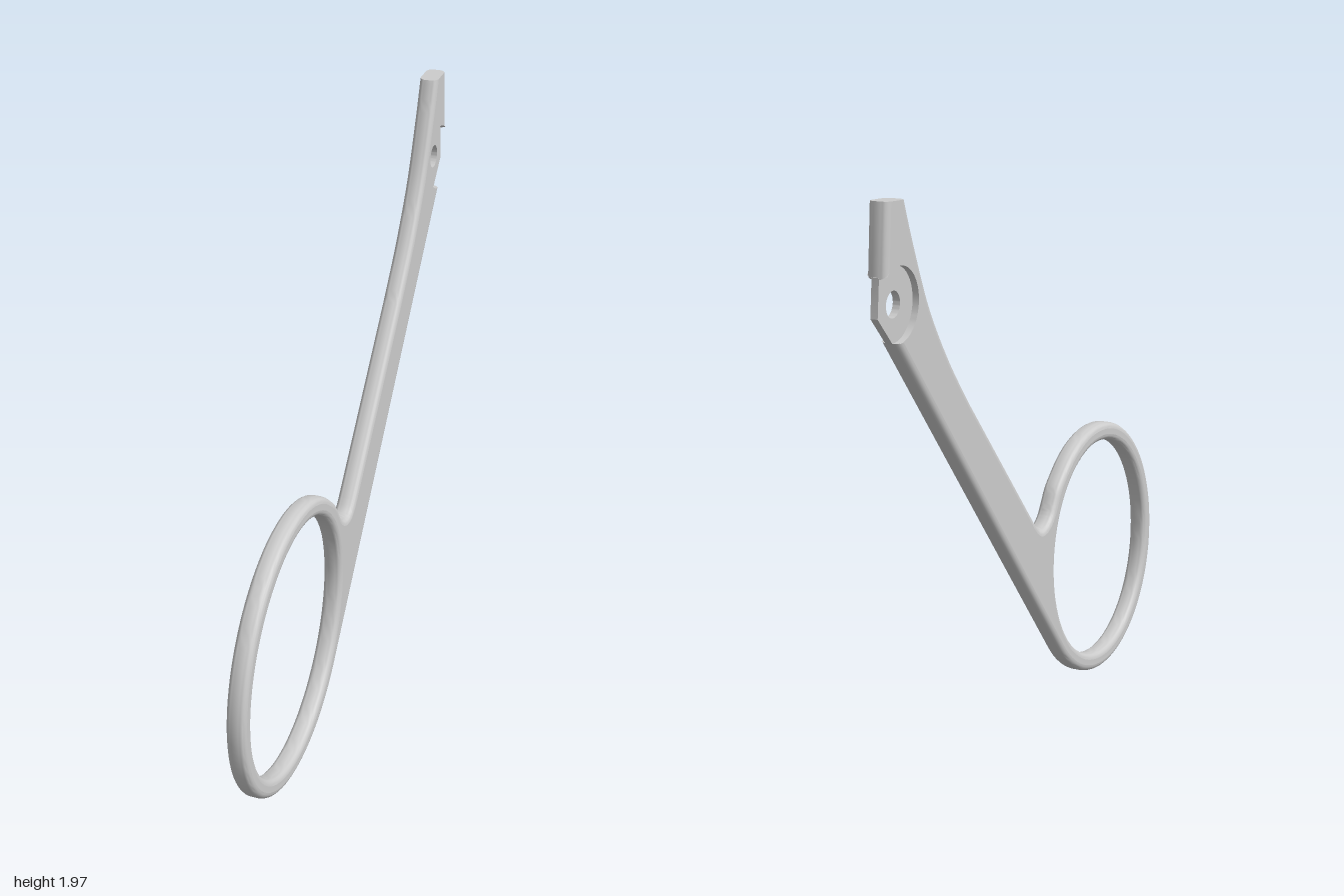
import * as THREE from 'three';
import { mergeGeometries, toCreasedNormals } from 'three/addons/utils/BufferGeometryUtils.js';

const V = (x, y) => new THREE.Vector2(x, y);
const HALF = 0.033, ROUND = 0.022;         // half thickness, edge rounding
const TILT = THREE.MathUtils.degToRad(50.5); // direction of the arm
const PIVOT = V(0.913, 1.67), RECESS = 0.113;

// point on the tilted finger-ring ellipse
function ellipsePoint(a, b, t) {
  return V(a * Math.cos(t), b * Math.sin(t)).rotateAround(V(0, 0), TILT).add(V(-0.5375, 0.478));
}

function pivotPoint(r, deg) {
  const t = THREE.MathUtils.degToRad(deg);
  return V(PIVOT.x + r * Math.cos(t), PIVOT.y + r * Math.sin(t));
}

// move a loop into the solid (right of travel); p.sharp marks edges that keep their place
function inset(loop, d) {
  const n = loop.length;
  const normal = (a, b) => V(b.y - a.y, a.x - b.x).normalize();
  return loop.map((p, i) => {
    const prev = loop[(i + n - 1) % n], next = loop[(i + 1) % n];
    const n1 = normal(prev, p), n2 = normal(p, next);
    const w1 = prev.sharp ? 0 : d, w2 = p.sharp ? 0 : d;
    const det = n1.x * n2.y - n1.y * n2.x;
    if (Math.abs(det) < 0.05) return n1.add(n2).normalize().multiplyScalar((w1 + w2) / 2).add(p);
    return V((w1 * n2.y - w2 * n1.y) / det, (n1.x * w2 - n2.x * w1) / det).add(p);
  });
}

// plate with rounded rims: outer loop clockwise, hole loop counter-clockwise
function roundedPlate(outer, hole) {
  const layers = [];
  const steps = 5;
  for (let i = 0; i <= steps; i++) {
    const a = (i / steps) * Math.PI / 2;
    layers.push([-(HALF - ROUND) - ROUND * Math.cos(a), ROUND * (1 - Math.sin(a))]);
  }
  for (let i = steps; i >= 0; i--) layers.push([-layers[i][0], layers[i][1]]);

  const walls = [], caps = [];
  const put = (list, p, z) => list.push(p.x, p.y, z);
  for (const loop of [outer, hole]) {
    const rows = layers.map(([, d]) => inset(loop, d));
    for (let k = 0; k < layers.length - 1; k++) {
      const z0 = layers[k][0], z1 = layers[k + 1][0];
      loop.forEach((_, i) => {
        const j = (i + 1) % loop.length;
        put(walls, rows[k][i], z0); put(walls, rows[k + 1][i], z1); put(walls, rows[k][j], z0);
        put(walls, rows[k][j], z0); put(walls, rows[k + 1][i], z1); put(walls, rows[k + 1][j], z1);
      });
    }
  }
  const rim = inset(outer, ROUND), eye = inset(hole, ROUND);
  const all = [...rim, ...eye];
  for (const face of THREE.ShapeUtils.triangulateShape(rim, [eye])) {
    let [a, b, c] = face.map(i => all[i]);
    if (THREE.ShapeUtils.area([a, b, c]) < 0) [b, c] = [c, b];
    [a, b, c].forEach(p => put(caps, p, HALF));
    [a, c, b].forEach(p => put(caps, p, -HALF));
  }
  const make = list => new THREE.BufferGeometry()
    .setAttribute('position', new THREE.Float32BufferAttribute(list, 3));
  const flat = make(caps);
  flat.computeVertexNormals();
  return mergeGeometries([toCreasedNormals(make(walls), 0.6), flat]);
}

function bodyOutline() {
  const pts = [];
  // finger ring, from the underside of the arm round to the crotch
  const N = 72;
  for (let i = 0; i <= N; i++) {
    pts.push(ellipsePoint(0.497, 0.445, -Math.PI / 2 - (i / N) * Math.PI * 1.5));
  }
  // fillet between ring and arm
  const fillet = new THREE.SplineCurve([
    pts[N], V(-0.168, 0.815), V(-0.135, 0.765), V(-0.112, 0.732), V(-0.082, 0.709),
    V(-0.05, 0.7), V(-0.02, 0.708), V(0.012, 0.737)]);
  pts.push(...fillet.getPoints(35).slice(1));
  // upper edge sweeping up to the tip
  const sweep = new THREE.SplineCurve([
    V(0.476, 1.275), V(0.61, 1.446), V(0.727, 1.633), V(0.813, 1.834), V(0.861, 1.965)]);
  pts.push(...sweep.getPoints(28));
  pts[pts.length - 1].sharp = true;
  pts.push(V(0.968, 1.972));
  // round notch for the pivot
  for (let i = 0; i <= 40; i++) {
    const p = pivotPoint(RECESS, 48.6 + (i / 40) * 225.4);
    p.sharp = i < 40;
    pts.push(p);
  }
  return pts;
}

export function createModel() {
  const model = new THREE.Group();
  model.name = 'scissorHalf';
  const material = new THREE.MeshStandardMaterial({ color: 0xcccccc });
  const add = (name, geometry) => {
    const mesh = new THREE.Mesh(geometry.rotateY(Math.PI / 2), material);
    mesh.name = name;
    model.add(mesh);
  };

  // arm and finger ring in one piece
  const hole = [];
  for (let i = 0; i < 80; i++) hole.push(ellipsePoint(0.432, 0.381, (i / 80) * Math.PI * 2));
  add('armWithFingerRing', roundedPlate(bodyOutline(), hole));

  // thin pivot lug, recessed on both sides, with a screw hole
  const lug = [V(0.92, 1.555), V(1.0, 1.643), V(0.988, 1.757)];
  for (let i = 0; i <= 40; i++) lug.push(pivotPoint(RECESS + 0.004, 50 + (i / 40) * 222));
  const shape = new THREE.Shape(lug);
  shape.holes.push(new THREE.Path().absarc(PIVOT.x, PIVOT.y, 0.04, 0, Math.PI * 2, true));
  const thin = 0.012;
  const lugGeometry = new THREE.ExtrudeGeometry(shape, { depth: thin * 2, bevelEnabled: false, curveSegments: 32 });
  lugGeometry.translate(0, 0, -thin);
  add('pivotLug', toCreasedNormals(lugGeometry, 0.6));

  return model;
}
